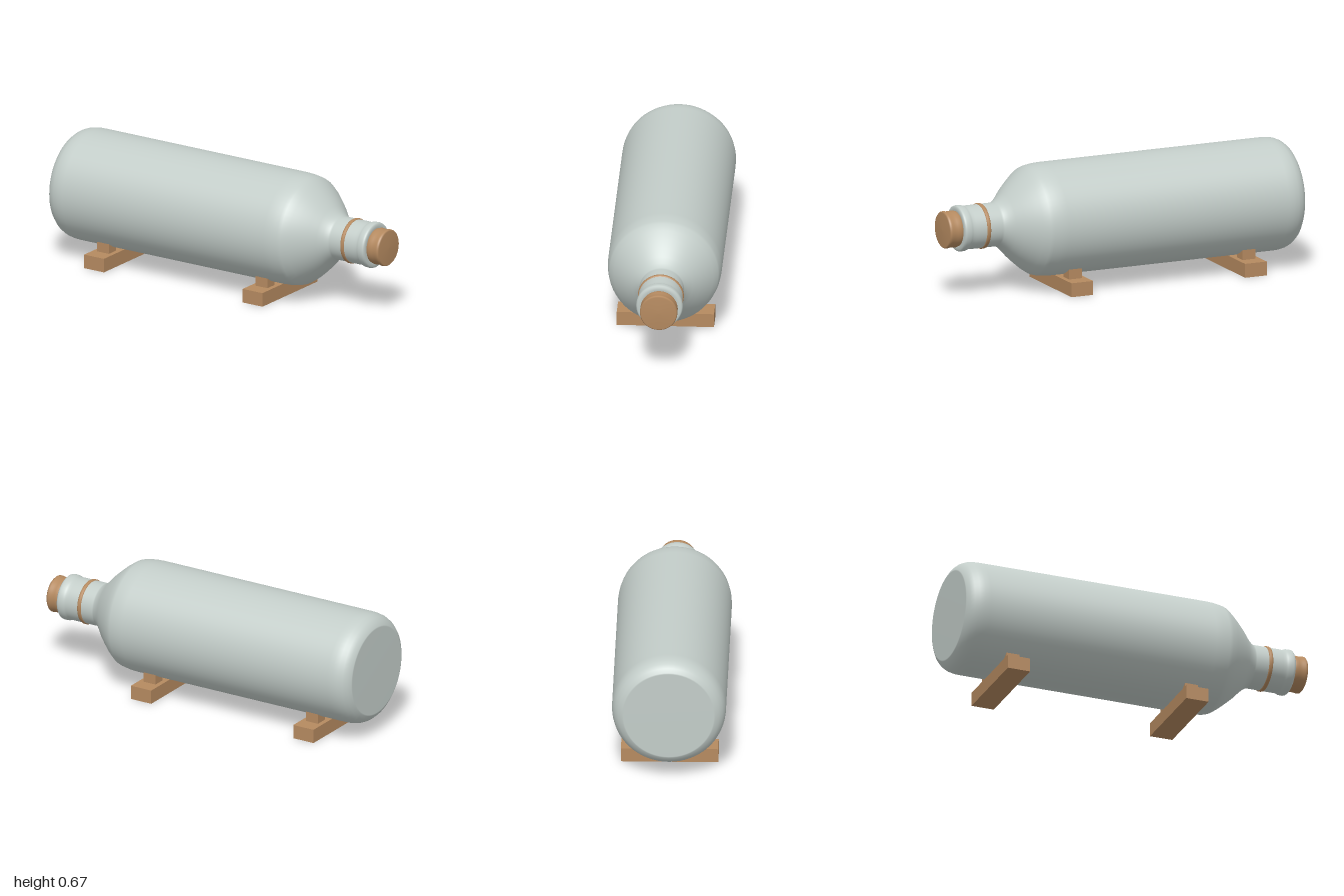
import * as THREE from 'three';

const AXIS_Y = 0.373;

export function createModel() {
  const model = new THREE.Group();
  model.name = 'bottleOnStand';

  const glass = new THREE.MeshStandardMaterial({ color: 0xc3cdc9 });
  glass.name = 'paleGreyGreen';
  const wood = new THREE.MeshStandardMaterial({ color: 0xb58a60 });
  wood.name = 'warmBrown';

  // Turned part lying along x; profile points are [radius, x]
  function turned(name, profile, material) {
    const points = profile.map(([r, x]) => new THREE.Vector2(r, x));
    const geometry = new THREE.LatheGeometry(points, 64);
    geometry.rotateZ(-Math.PI / 2);
    const mesh = new THREE.Mesh(geometry, material);
    mesh.name = name;
    mesh.position.y = AXIS_Y;
    model.add(mesh);
  }

  function box(name, parent, size, position) {
    const mesh = new THREE.Mesh(new THREE.BoxGeometry(...size), wood);
    mesh.name = name;
    mesh.position.set(...position);
    parent.add(mesh);
  }

  // Bottle: flat bottom, rounded heel, long body, sloping shoulder, neck and lip
  turned('bottle', [
    [0, -1], [0.238, -1], [0.245, -0.998], [0.266, -0.985], [0.283, -0.965],
    [0.294, -0.94], [0.299, -0.91], [0.3, -0.88], [0.3, 0.4], [0.298, 0.44],
    [0.292, 0.48], [0.286, 0.5], [0.262, 0.535], [0.23, 0.572], [0.195, 0.61],
    [0.16, 0.642], [0.135, 0.667], [0.119, 0.69], [0.116, 0.7], [0.116, 0.85],
    [0.115, 0.865], [0.118, 0.876], [0.122, 0.885], [0.123, 0.905],
    [0.121, 0.914], [0.115, 0.92], [0.1, 0.921], [0.085, 0.918],
  ], glass);

  // Band around the neck
  turned('neckBand', [
    [0.114, 0.769], [0.119, 0.77], [0.121, 0.775], [0.121, 0.785],
    [0.119, 0.79], [0.114, 0.791],
  ], wood);

  // Cork
  turned('cork', [
    [0.09, 0.905], [0.095, 0.925], [0.098, 0.935], [0.096, 0.95],
    [0.096, 0.97], [0.099, 0.982], [0.098, 0.992], [0.092, 0.998], [0, 1],
  ], wood);

  // Two cradles: a crossbar with a pair of posts
  for (const [name, x] of [['rearCradle', -0.706], ['neckCradle', 0.305]]) {
    const cradle = new THREE.Group();
    cradle.name = name;
    cradle.position.x = x;
    box('crossbar', cradle, [0.126, 0.075, 0.512], [0, 0.0375, 0]);
    for (const side of [-1, 1]) {
      box('post', cradle, [0.075, 0.056, 0.068], [0, 0.102, side * 0.139]);
    }
    model.add(cradle);
  }

  return model;
}
